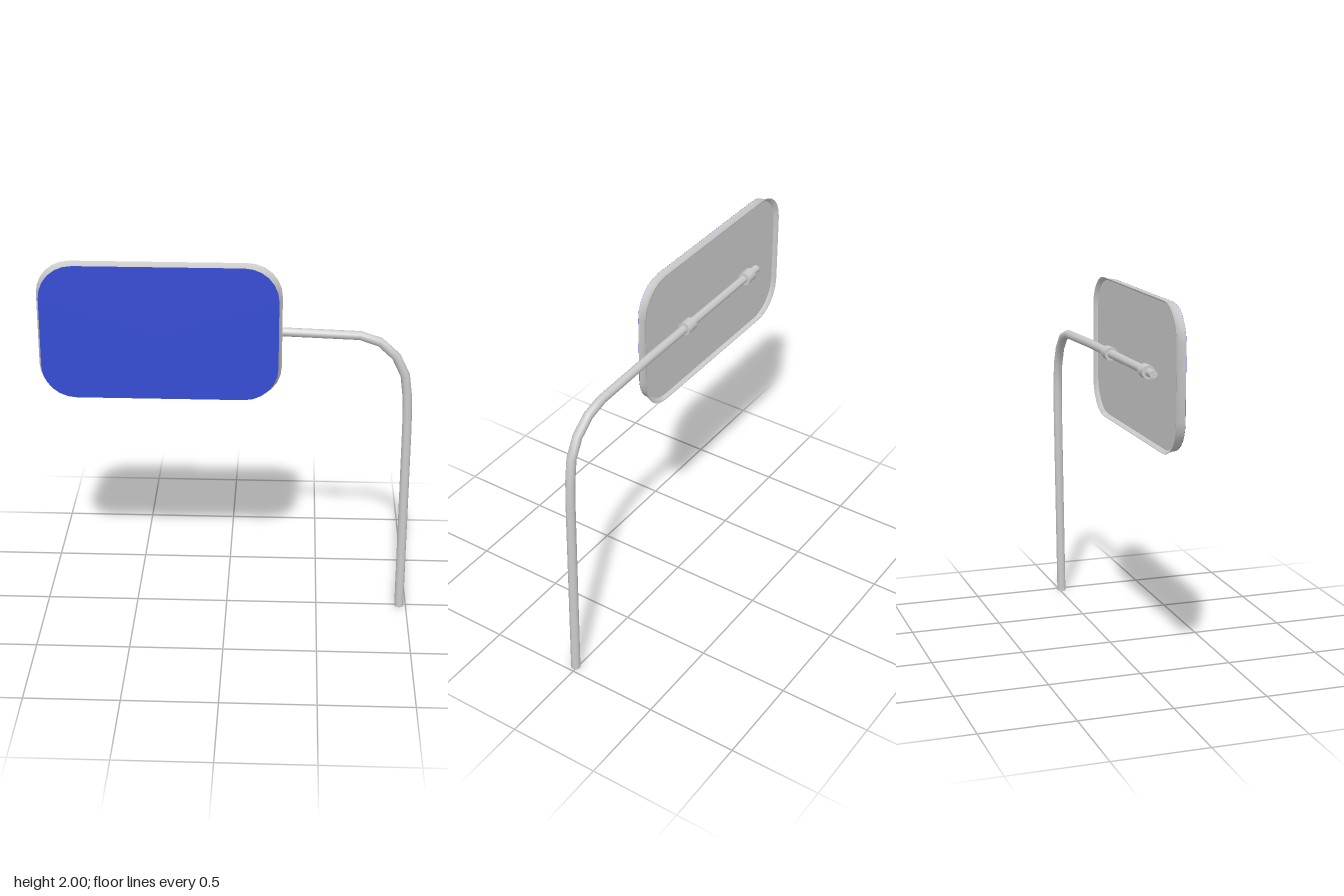
import * as THREE from 'three';
import { toCreasedNormals } from 'three/addons/utils/BufferGeometryUtils.js';

const V = (x, y, z) => new THREE.Vector3(x, y, z);
const grey = new THREE.MeshStandardMaterial({ color: 0xcccccc, side: THREE.DoubleSide });
const blue = new THREE.MeshStandardMaterial({ color: 0x364cd4 });

// Skin a list of closed rings, optionally closing the first and last with fans
function loft(rings, capStart, capEnd) {
  const n = rings[0].length, pos = [], index = [];
  for (const ring of rings) for (const p of ring) pos.push(p.x, p.y, p.z);
  for (let i = 0; i < rings.length - 1; i++)
    for (let j = 0; j < n; j++) {
      const k = (j + 1) % n, a = i * n + j, b = i * n + k;
      index.push(a, b, a + n, b, b + n, a + n);
    }
  const fan = (i, flip) => {
    const c = rings[i].reduce((s, p) => s.add(p), V(0, 0, 0)).divideScalar(n);
    const id = pos.length / 3;
    pos.push(c.x, c.y, c.z);
    for (let j = 0; j < n; j++) {
      const a = i * n + j, b = i * n + (j + 1) % n;
      index.push(id, flip ? b : a, flip ? a : b);
    }
  };
  if (capStart) fan(0, true);
  if (capEnd) fan(rings.length - 1, false);
  const g = new THREE.BufferGeometry();
  g.setAttribute('position', new THREE.Float32BufferAttribute(pos, 3));
  g.setIndex(index);
  return toCreasedNormals(g, 0.7);
}

// Rounded rectangle ring, counter-clockwise seen from the front
function roundedRing(w, h, r, z, seg = 6) {
  const pts = [];
  [[1, 1], [-1, 1], [-1, -1], [1, -1]].forEach(([sx, sy], q) => {
    for (let i = 0; i <= seg; i++) {
      const a = (q + i / seg) * Math.PI / 2;
      pts.push(V(sx * (w - r) + r * Math.cos(a), sy * (h - r) + r * Math.sin(a), z));
    }
  });
  return pts;
}

// Tapered tube with mitred joints along a polyline of [x, y, z, radius]
function pipe(path, sides = 12) {
  const p = path.map(([x, y, z]) => V(x, y, z));
  const rings = p.map((c, i) => {
    const t = V(0, 0, 0);
    if (i > 0) t.add(c.clone().sub(p[i - 1]).normalize());
    if (i < p.length - 1) t.add(p[i + 1].clone().sub(c).normalize());
    t.normalize();
    const n = V(0, 0, 1).cross(t).normalize(), b = t.clone().cross(n);
    return Array.from({ length: sides }, (_, j) => {
      const a = j / sides * Math.PI * 2, r = path[i][3];
      return c.clone().addScaledVector(n, r * Math.cos(a)).addScaledVector(b, r * Math.sin(a));
    });
  });
  return loft(rings, true, true);
}

export function createModel() {
  const model = new THREE.Group();
  const add = (parent, name, geometry, material = grey) => {
    const mesh = new THREE.Mesh(geometry, material);
    mesh.name = name;
    parent.add(mesh);
    return mesh;
  };

  // Sign panel: flared rim around a shallow recess at the back
  const sign = new THREE.Group();
  sign.name = 'signPanel';
  sign.position.set(-0.349, 1.625, 0);
  model.add(sign);
  add(sign, 'signTray', loft([
    roundedRing(0.617, 0.36, 0.175, 0.02),
    roundedRing(0.633, 0.371, 0.178, 0.001),
    roundedRing(0.638, 0.375, 0.18, 0),
    roundedRing(0.634, 0.372, 0.18, 0.008),
    roundedRing(0.625, 0.367, 0.18, 0.025),
    roundedRing(0.621, 0.365, 0.18, 0.055),
  ], true, false));
  add(sign, 'signFace', loft([
    roundedRing(0.621, 0.365, 0.18, 0.054),
    roundedRing(0.621, 0.365, 0.18, 0.056),
  ], false, true), blue);

  // Post that bends over into the arm behind the panel
  add(model, 'post', pipe([
    [0.963, 0, 0.01, 0.025],
    [0.958, 1.1, -0.005, 0.025],
    [0.953, 1.26, -0.007, 0.025],
    [0.936, 1.39, -0.008, 0.025],
    [0.886, 1.493, -0.011, 0.025],
    [0.8, 1.571, -0.016, 0.025],
    [0.695, 1.605, -0.02, 0.024],
    [0.28, 1.619, -0.021, 0.0235],
    [-0.73, 1.63, -0.021, 0.021],
  ]));

  // Clamps that hold the arm to the panel
  for (const [x, y] of [[-0.055, 1.623], [-0.633, 1.629]])
    add(model, 'clamp', pipe([[x + 0.034, y, -0.023, 0.036], [x - 0.034, y, -0.023, 0.036]], 10));
  return model;
}
